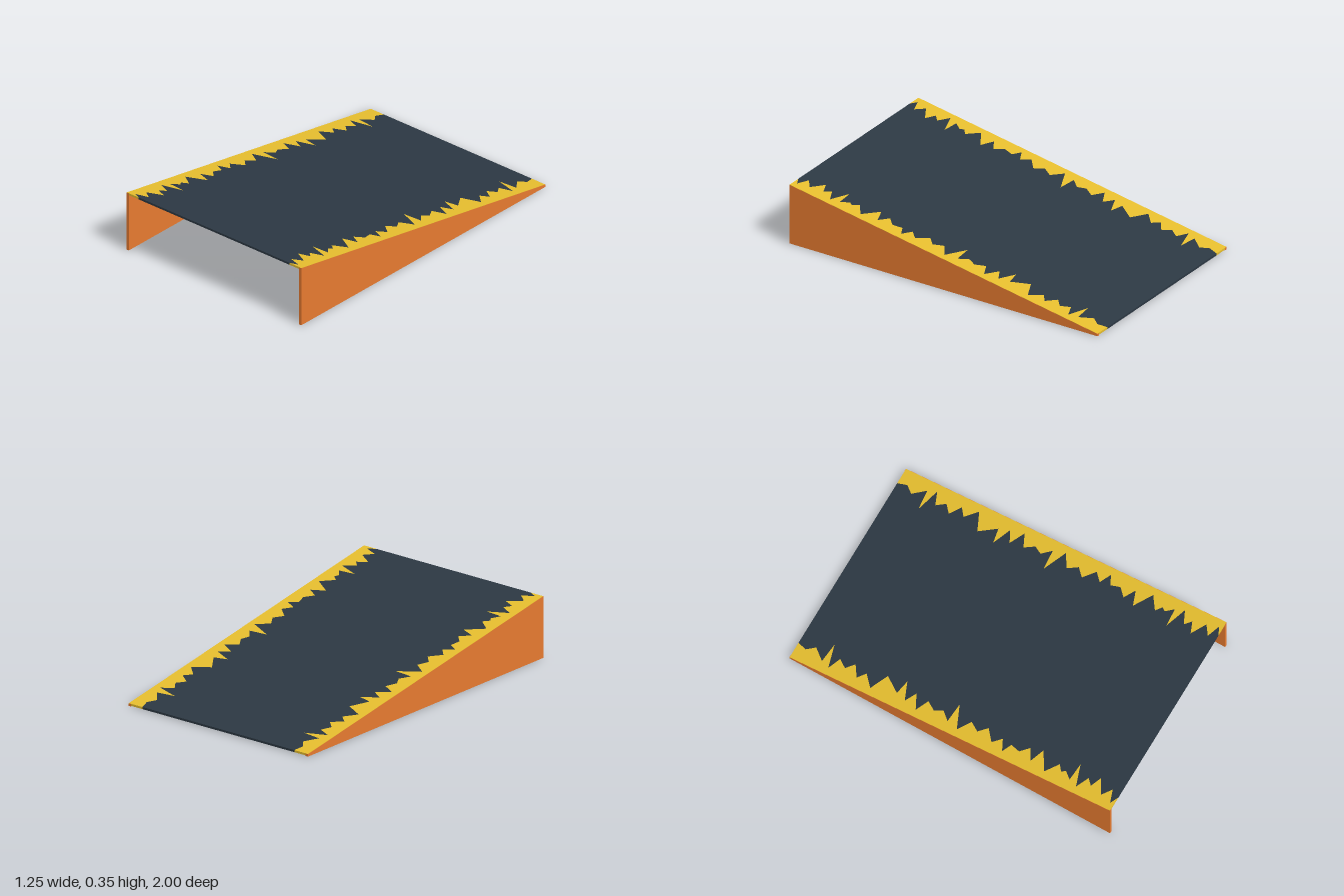
import * as THREE from 'three';

const TOP = 0.185, SLOPE = 0.17;   // deck height at the middle, rise per unit of z
const HALF = 0.625, END = 0.999, DECK = 0.012;

// Worn paint edge: tooth tips as [z, x]; a valley is set between each pair of tips
const TIPS = [
  [-0.999, 0.53], [-0.9, 0.51], [-0.82, 0.45], [-0.75, 0.51], [-0.66, 0.5], [-0.58, 0.52],
  [-0.47, 0.48], [-0.36, 0.46], [-0.28, 0.5], [-0.2, 0.51], [-0.1, 0.52], [-0.04, 0.45],
  [0.07, 0.51], [0.17, 0.5], [0.27, 0.52], [0.33, 0.53], [0.43, 0.5], [0.5, 0.48],
  [0.62, 0.51], [0.67, 0.53], [0.72, 0.46], [0.8, 0.51], [0.86, 0.48], [0.95, 0.51], [0.999, 0.54],
];

function wornEdge() {
  const pts = [];
  TIPS.forEach(([z, x], i) => {
    pts.push([x, z]);
    if (i === TIPS.length - 1) return;
    const gap = TIPS[i + 1][0] - z;
    const sharp = TIPS[i + 1][1] < 0.47;   // long teeth have one abrupt side
    pts.push([0.545 + 0.02 * (i % 3), z + gap * (sharp ? 0.85 : 0.55)]);
  });
  return pts;
}

// Extrude a plan outline of [x, z] points and shear it to the ramp slope
function slopedSlab(outline) {
  const shape = new THREE.Shape(outline.map(([x, z]) => new THREE.Vector2(x, -z)));
  const geo = new THREE.ExtrudeGeometry(shape, { depth: DECK, bevelEnabled: false });
  geo.rotateX(-Math.PI / 2);
  const p = geo.attributes.position;
  for (let i = 0; i < p.count; i++) p.setY(i, p.getY(i) + TOP - DECK + SLOPE * p.getZ(i));
  geo.computeVertexNormals();
  return geo;
}

export function createModel() {
  const group = new THREE.Group();
  const add = (name, geo, color) => {
    const mesh = new THREE.Mesh(geo, new THREE.MeshStandardMaterial({ color }));
    mesh.name = name;
    group.add(mesh);
    return mesh;
  };
  const edge = wornEdge();
  const mirrored = edge.map(([x, z]) => [-x, z]);

  // Dark driving surface between the two worn paint edges
  add('deck', slopedSlab([...edge, ...mirrored.slice().reverse()]), 0x2c3843);

  // Wedge profile of a side wall, in (-z, y)
  const wedge = new THREE.Shape([
    new THREE.Vector2(-1, 0), new THREE.Vector2(1, 0),
    new THREE.Vector2(1, TOP - SLOPE - 0.001), new THREE.Vector2(-1, TOP + SLOPE - 0.001),
  ]);

  for (const [side, s, pts] of [['left', 1, edge], ['right', -1, mirrored]]) {
    // Painted yellow border with a ragged inner edge
    const border = [...pts, [s * HALF, END], [s * HALF, -END]];
    add(side + 'Border', slopedSlab(border), 0xe6be2e);

    // Orange triangular side wall
    const wall = new THREE.ExtrudeGeometry(wedge, { depth: 0.016, bevelEnabled: false });
    wall.rotateY(Math.PI / 2);
    wall.translate(s > 0 ? 0.61 : -0.626, 0, 0);
    add(side + 'Wall', wall, 0xe67a30);
  }
  return group;
}
